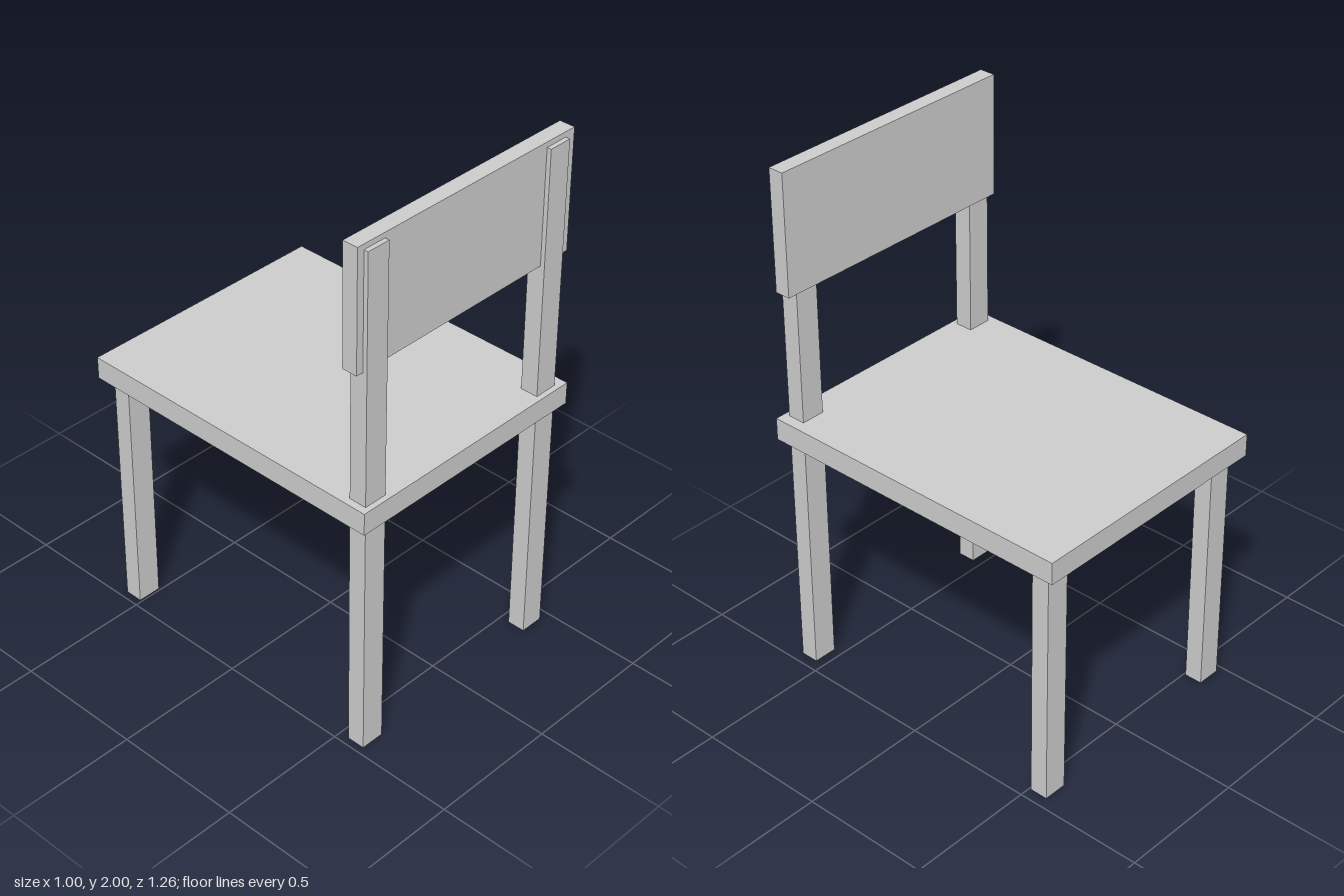
import * as THREE from 'three';

const material = new THREE.MeshStandardMaterial({ color: 0xcccccc });

// Box given by its [min, max] extent along each axis
function slab(name, [x0, x1], [y0, y1], [z0, z1]) {
  const mesh = new THREE.Mesh(new THREE.BoxGeometry(x1 - x0, y1 - y0, z1 - z0), material);
  mesh.name = name;
  mesh.position.set((x0 + x1) / 2, (y0 + y1) / 2, (z0 + z1) / 2);
  return mesh;
}

export function createModel() {
  const chair = new THREE.Group();
  chair.name = 'chair';

  const seatBottom = 0.945;

  // Seat board and backrest panel
  chair.add(slab('seat', [-0.5, 0.5], [seatBottom, 1.03], [-0.628, 0.628]));
  chair.add(slab('backrest', [-0.5, 0.5], [1.54, 2], [0.53, 0.59]));

  // Short legs at one end, tall posts carrying the backrest at the other
  const sides = { Right: [-0.472, -0.38], Left: [0.366, 0.458] };
  for (const [side, x] of Object.entries(sides)) {
    chair.add(slab('leg' + side, x, [0, seatBottom], [-0.577, -0.508]));
    chair.add(slab('backPost' + side, x, [0, 1.98], [0.538, 0.607]));
  }

  return chair;
}
